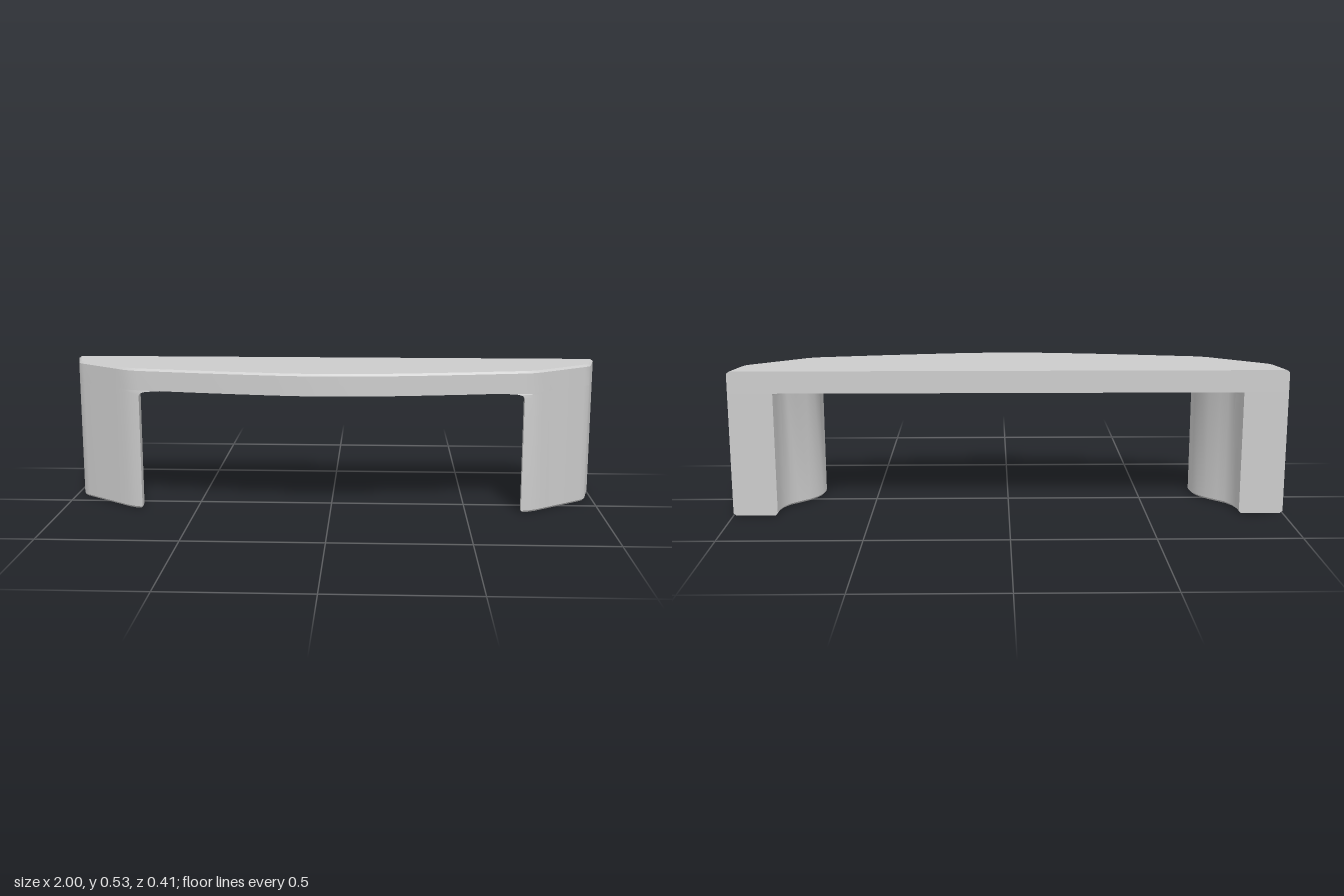
import * as THREE from 'three';
import { toCreasedNormals } from 'three/addons/utils/BufferGeometryUtils.js';

const BACK = -0.207, TOP = 0.53, UNDER = 0.45, BEVEL = 0.008;

// Half outline in plan [x, z]: from the back corner round to the leg tip, then to the centre
const SIDE = [[1, BACK], [0.974, -0.1], [0.965, -0.073], [0.945, -0.055], [0.87, 0.002], [0.8, 0.055], [0.765, 0.082], [0.735, 0.098], [0.705, 0.107]];
const FRONT = [[0.6, 0.126], [0.5, 0.145], [0.35, 0.17], [0.2, 0.192], [0.1, 0.202], [0, 0.206]];
// Inner face of a leg, from the tip to the back
const INNER = [[0.704, 0.085], [0.71, 0.045], [0.726, 0.01], [0.75, -0.024], [0.785, -0.058], [0.81, -0.082], [0.828, -0.115], [0.838, -0.155], [0.84, BACK]];

const mirror = (pts) => pts.map(([x, z]) => [-x, z]).reverse();

// Moves the outline inwards, keeping the flat back in its plane
function inset(pts, d) {
  const n = pts.length;
  const normal = (a, b) => new THREE.Vector2(a[1] - b[1], b[0] - a[0]).normalize();
  return pts.map((p, i) => {
    const a = normal(pts[(i + n - 1) % n], p), b = normal(p, pts[(i + 1) % n]);
    const m = a.clone().add(b).multiplyScalar(d / (1 + a.dot(b)));
    return [p[0] + m.x, p[1] === BACK ? BACK : p[1] + m.y];
  });
}

// Solid through stacked rings { y, pts }, closed at both ends
function loft(rings) {
  const n = rings[0].pts.length, pos = [], index = [];
  for (const { y, pts } of rings) for (const [x, z] of pts) pos.push(x, y, z);
  for (let r = 0; r < rings.length - 1; r++) {
    for (let i = 0; i < n; i++) {
      const a = r * n + i, b = r * n + (i + 1) % n;
      index.push(a, a + n, b + n, a, b + n, b);
    }
  }
  const cap = (r, flip) => {
    const contour = rings[r].pts.map(([x, z]) => new THREE.Vector2(x, z));
    for (const [a, b, c] of THREE.ShapeUtils.triangulateShape(contour, [])) {
      index.push(r * n + a, r * n + (flip ? c : b), r * n + (flip ? b : c));
    }
  };
  cap(0, false);
  cap(rings.length - 1, true);
  const g = new THREE.BufferGeometry();
  g.setAttribute('position', new THREE.Float32BufferAttribute(pos, 3));
  g.setIndex(index);
  return toCreasedNormals(g, 0.6);
}

// Leg section; flare spreads the inner face towards the middle, most at the tip
function legSection(flare) {
  const tip = SIDE[SIDE.length - 1];
  const outer = [...SIDE.slice(0, -1), [tip[0] - flare, tip[1] + flare * 0.18]];
  const inner = INNER.map(([x, z], i) => {
    const k = flare * (1 - i / (INNER.length - 1));
    return [x - k, z + k * 0.18];
  });
  return [...outer, ...inner];
}

export function createModel() {
  const group = new THREE.Group();
  const material = new THREE.MeshStandardMaterial({ color: 0xcccccc });
  const add = (name, rings) => {
    const mesh = new THREE.Mesh(loft(rings), material);
    mesh.name = name;
    group.add(mesh);
  };

  // Bowed crossbar with a softened top edge
  const half = [...SIDE, ...FRONT];
  const bar = [...half, ...mirror(half).slice(1)];
  add('crossbar', [
    { y: UNDER, pts: bar },
    { y: TOP - BEVEL, pts: bar },
    { y: TOP, pts: inset(bar, BEVEL) },
  ]);

  // Curved legs with a softened foot and a fillet under the bar
  const straight = legSection(0);
  const legRings = [
    { y: 0, pts: inset(straight, BEVEL) },
    { y: BEVEL, pts: straight },
    { y: 0.43, pts: straight },
    { y: 0.439, pts: legSection(0.006) },
    { y: 0.445, pts: legSection(0.025) },
    { y: UNDER, pts: legSection(0.08) },
  ];
  add('leftLeg', legRings);
  add('rightLeg', legRings.map(({ y, pts }) => ({ y, pts: mirror(pts) })));

  return group;
}
